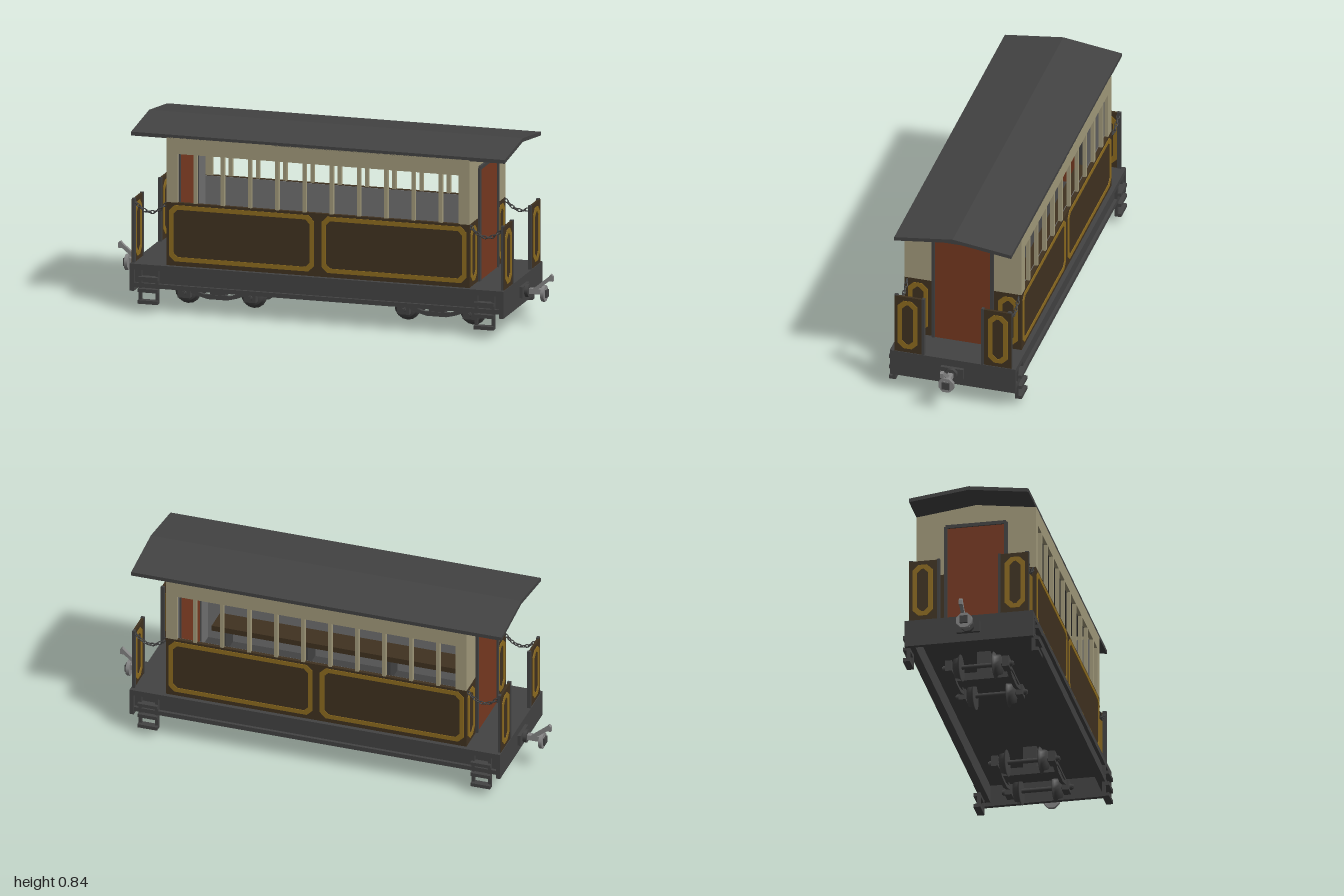
import * as THREE from 'three';

const mat = (name, color) => {
  const m = new THREE.MeshStandardMaterial({ color });
  m.name = name;
  return m;
};

export function createModel() {
  const iron = mat('dark iron', 0x434343);
  const cream = mat('cream paint', 0xa39b7c);
  const brown = mat('dark brown paint', 0x403220);
  const gold = mat('gold lining', 0x8e6c1f);
  const rust = mat('rust door', 0x773920);
  const steel = mat('steel', 0x858585);
  const lining = mat('grey interior', 0x707070);

  const model = new THREE.Group();
  model.name = 'railwayCoach';

  const group = (name, parent = model) => {
    const g = new THREE.Group();
    g.name = name;
    parent.add(g);
    return g;
  };
  const add = (parent, name, geo, material, x = 0, y = 0, z = 0) => {
    const m = new THREE.Mesh(geo, material);
    m.name = name;
    m.position.set(x, y, z);
    parent.add(m);
    return m;
  };
  // Box given by its limits on each axis
  const box = (parent, name, material, x0, x1, y0, y1, z0, z1) =>
    add(parent, name, new THREE.BoxGeometry(Math.abs(x1 - x0), y1 - y0, Math.abs(z1 - z0)),
      material, (x0 + x1) / 2, (y0 + y1) / 2, (z0 + z1) / 2);
  const polygon = (pts) => new THREE.Shape(pts.map(([x, y]) => new THREE.Vector2(x, y)));
  const extrude = (shape, depth) => new THREE.ExtrudeGeometry(shape, { depth, bevelEnabled: false });
  // Cylinder lying along z or x
  const rod = (parent, name, material, axis, r, len, x, y, z, sides = 12) => {
    const g = new THREE.CylinderGeometry(r, r, len, sides);
    if (axis === 'z') g.rotateX(Math.PI / 2);
    else g.rotateZ(Math.PI / 2).rotateX(Math.PI / 8);
    return add(parent, name, g, material, x, y, z);
  };

  // Thin gold border with cut corners, facing +z
  const cutRect = (w, h, c) => [[-w + c, -h], [w - c, -h], [w, -h + c], [w, h - c],
    [w - c, h], [-w + c, h], [-w, h - c], [-w, -h + c]];
  const border = (parent, w, h, t, x, y, z, turn = 0) => {
    const s = polygon(cutRect(w / 2, h / 2, 0.026));
    s.holes.push(polygon(cutRect(w / 2 - t, h / 2 - t, 0.02)));
    add(parent, 'goldBorder', extrude(s, 0.003), gold, x, y, z).rotation.y = turn;
  };

  // Roof: shallow gable extruded along x
  const roofShape = polygon([[-0.267, 0.788], [0, 0.823], [0.267, 0.788], [0.267, 0.805], [0, 0.84], [-0.267, 0.805]]);
  add(model, 'roof', extrude(roofShape, 1.714).rotateY(Math.PI / 2), iron, -0.857);

  // Underframe: deck, channel-shaped side beams
  const chassis = group('underframe');
  box(chassis, 'deck', iron, -0.857, 0.857, 0.19, 0.215, -0.287, 0.287);
  for (const s of [1, -1]) {
    box(chassis, 'sideBeamWeb', iron, -0.845, 0.845, 0.11, 0.192, s * 0.25, s * 0.272);
    box(chassis, 'sideBeamFlange', iron, -0.845, 0.845, 0.11, 0.13, s * 0.25, s * 0.286);
  }

  // Long sides: lower panels, window pillars, top rail, bench
  for (const s of [1, -1]) {
    const side = group('longSide');
    side.rotation.y = s > 0 ? 0 : Math.PI;
    box(side, 'lowerPanel', brown, -0.695, 0.695, 0.215, 0.5, 0.25, 0.267);
    box(side, 'innerLining', lining, -0.68, 0.68, 0.215, 0.498, 0.246, 0.25);
    box(side, 'topRail', cream, -0.695, 0.695, 0.72, 0.792, 0.25, 0.267);
    for (const e of [1, -1]) {
      box(side, 'cornerPillar', cream, e * 0.645, e * 0.695, 0.5, 0.72, 0.25, 0.267);
      border(side, 0.666, 0.254, 0.02, e * 0.35, 0.362, 0.267);
    }
    for (let i = 0; i < 10; i++) {
      const x = (i - 4.5) * 0.125;
      box(side, 'windowPillar', cream, x - 0.008, x + 0.008, 0.5, 0.72, 0.25, 0.267);
    }
    box(side, 'benchSeat', brown, -0.62, 0.62, 0.325, 0.35, 0.13, 0.246);
    for (let i = 0; i < 4; i++) {
      const x = (i - 1.5) * 0.38;
      box(side, 'benchSupport', iron, x - 0.01, x + 0.01, 0.215, 0.325, 0.15, 0.246);
    }
  }

  // Everything at one end, built toward +x and turned for the other
  for (const turn of [0, Math.PI]) {
    const end = group('coachEnd');
    end.rotation.y = turn;

    // End wall, door and door frame
    const gable = polygon([[-0.25, 0.5], [0.25, 0.5], [0.25, 0.79], [0, 0.823], [-0.25, 0.79]]);
    add(end, 'upperEndWall', extrude(gable, 0.015).rotateY(Math.PI / 2), cream, 0.68);
    box(end, 'lowerEndWall', brown, 0.68, 0.695, 0.215, 0.5, -0.25, 0.25);
    box(end, 'endLining', lining, 0.676, 0.68, 0.215, 0.78, -0.246, 0.246);
    box(end, 'door', rust, 0.672, 0.7, 0.215, 0.72, -0.127, 0.127);
    box(end, 'doorFrameTop', iron, 0.672, 0.706, 0.717, 0.733, -0.135, 0.135);

    // End beam and buffer plate
    box(end, 'endBeam', iron, 0.838, 0.857, 0.092, 0.215, -0.287, 0.287);
    box(end, 'bufferPlate', iron, 0.857, 0.872, 0.13, 0.18, -0.052, 0.052);

    for (const s of [1, -1]) {
      box(end, 'doorFramePost', iron, 0.672, 0.706, 0.215, 0.725, s * 0.127, s * 0.142);
      border(end, 0.09, 0.245, 0.02, 0.695, 0.358, s * 0.206, Math.PI / 2);

      // Platform guard panel with edge posts
      box(end, 'guardPanel', brown, 0.843, 0.854, 0.215, 0.5, s * 0.142, s * 0.267);
      box(end, 'guardPost', iron, 0.84, 0.852, 0.215, 0.505, s * 0.25, s * 0.2675);
      box(end, 'guardInnerPost', iron, 0.84, 0.856, 0.215, 0.503, s * 0.13, s * 0.142);
      border(end, 0.09, 0.245, 0.02, 0.854, 0.358, s * 0.206, Math.PI / 2);
      border(end, 0.09, 0.245, 0.02, 0.843, 0.358, s * 0.206, -Math.PI / 2);

      // Hanging safety chain
      const chain = group('safetyChain', end);
      const curve = new THREE.QuadraticBezierCurve3(
        new THREE.Vector3(0.697, 0.492, s * 0.255), new THREE.Vector3(0.77, 0.4, s * 0.255),
        new THREE.Vector3(0.845, 0.492, s * 0.255));
      for (let i = 0; i < 10; i++) {
        const p = curve.getPointAt((i + 0.5) / 10);
        const t = curve.getTangentAt((i + 0.5) / 10);
        const link = new THREE.TorusGeometry(0.0085, 0.0032, 5, 10);
        link.scale(1.25, 0.8, 1).rotateX(i % 2 ? Math.PI / 2 : 0);
        add(chain, 'chainLink', link, iron, p.x, p.y, p.z).rotation.z = Math.atan2(t.y, t.x);
      }

      // Boarding steps
      const steps = group('boardingSteps', end);
      for (const x of [0.725, 0.802])
        box(steps, 'stepHanger', iron, x, x + 0.014, 0.04, 0.2, s * 0.272, s * 0.287);
      for (const y of [0.04, 0.092, 0.146])
        box(steps, 'stepTread', iron, 0.725, 0.816, y, y + 0.016, s * 0.272, s * 0.303);
    }

    // Coupler: shank, octagonal face, block and raised lever
    const coupler = group('coupler', end);
    rod(coupler, 'couplerCollar', iron, 'x', 0.03, 0.016, 0.88, 0.155, 0, 8);
    box(coupler, 'couplerShank', steel, 0.872, 0.965, 0.142, 0.166, -0.012, 0.012);
    rod(coupler, 'couplerFace', steel, 'x', 0.037, 0.016, 0.955, 0.146, 0, 8);
    box(coupler, 'couplerBlock', iron, 0.96, 0.972, 0.13, 0.164, -0.017, 0.017);
    const lever = polygon([[0.9, 0.16], [0.918, 0.155], [0.982, 0.206], [1, 0.206], [1, 0.228], [0.99, 0.238], [0.98, 0.226]]);
    add(coupler, 'couplerLever', extrude(lever, 0.016), steel);

    // Bogie: two wheelsets in a sprung frame
    const bogie = group('bogie', end);
    bogie.position.x = 0.503;
    box(bogie, 'bolster', iron, -0.035, 0.035, 0.055, 0.09, -0.13, 0.13);
    rod(bogie, 'pivot', iron, 'z', 0.02, 0.06, 0, 0.09, 0);
    box(bogie, 'pivotBlock', iron, -0.03, 0.03, 0.085, 0.19, -0.03, 0.03);
    for (const x of [-0.151, 0.151]) {
      rod(bogie, 'axle', iron, 'z', 0.01, 0.32, x, 0.063, 0);
      for (const s of [1, -1]) {
        const profile = [[0.001, 0.072], [0.06, 0.072], [0.06, 0.076], [0.047, 0.084], [0.043, 0.105], [0.001, 0.105]]
          .map(([r, h]) => new THREE.Vector2(r, h));
        const wheel = add(bogie, 'wheel', new THREE.LatheGeometry(profile, 16), iron, x, 0.061, 0);
        wheel.material = iron;
        wheel.rotation.x = s * Math.PI / 2;
        box(bogie, 'axleBox', iron, x - 0.028, x + 0.028, 0.04, 0.09, s * 0.112, s * 0.143);
        rod(bogie, 'axleCap', iron, 'z', 0.014, 0.012, x, 0.063, s * 0.149, 8);
      }
    }
    // Side bars that dip between the axle boxes
    const bar = polygon([[-0.14, 0.07], [-0.085, 0.05], [-0.045, 0.04], [0.045, 0.04], [0.085, 0.05], [0.14, 0.07],
      [0.14, 0.085], [0.06, 0.06], [-0.06, 0.06], [-0.14, 0.085]]);
    for (const s of [1, -1]) {
      add(bogie, 'sideBar', extrude(bar, 0.016), iron, 0, 0, s * 0.126 - 0.008);
      box(bogie, 'upperBar', iron, -0.13, 0.13, 0.074, 0.086, s * 0.118, s * 0.134);
    }
  }

  // Every lathe wheel and thin plate is closed, so one-sided faces suffice
  return model;
}
